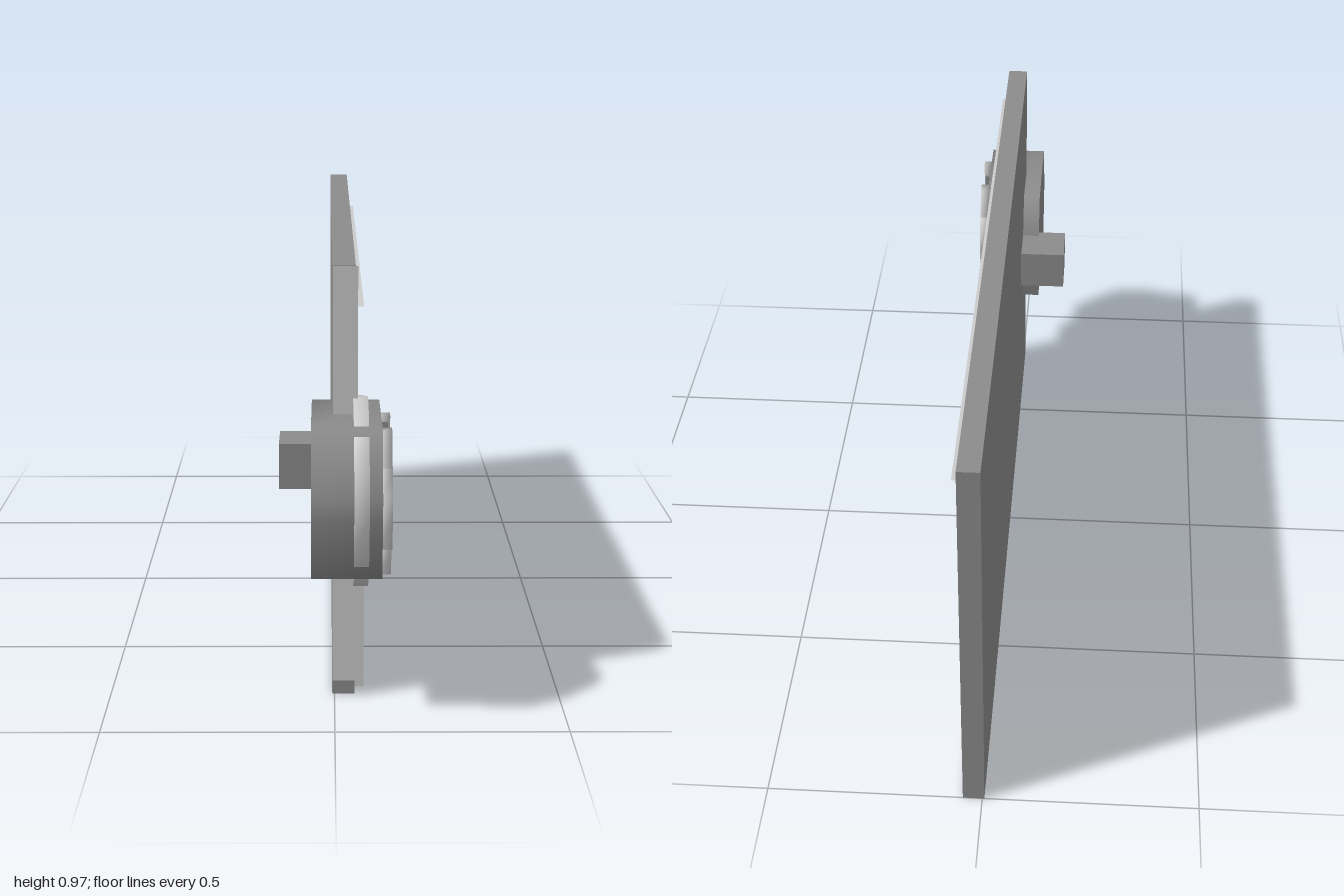
import * as THREE from 'three';
import { mergeVertices, toCreasedNormals } from 'three/addons/utils/BufferGeometryUtils.js';

const light = new THREE.MeshStandardMaterial({ color: 0xcccccc });
const thin = new THREE.MeshStandardMaterial({ color: 0xcccccc, side: THREE.DoubleSide });
const dark = new THREE.MeshStandardMaterial({ color: 0x8c8c8c });

export function createModel() {
  const model = new THREE.Group();

  const add = (name, geometry, material) => {
    const mesh = new THREE.Mesh(geometry, material);
    mesh.name = name;
    model.add(mesh);
    return mesh;
  };
  // Box given by its limits on each axis
  const box = (name, material, x0, x1, y0, y1, z0, z1) =>
    add(name, new THREE.BoxGeometry(x1 - x0, y1 - y0, z1 - z0), material)
      .position.set((x0 + x1) / 2, (y0 + y1) / 2, (z0 + z1) / 2);
  // Outline of [z, y] points extruded along x
  const slab = (points, x0, x1) => {
    const shape = new THREE.Shape(points.map(([z, y]) => new THREE.Vector2(-z, y)));
    const g = new THREE.ExtrudeGeometry(shape, { depth: x1 - x0, bevelEnabled: false });
    return g.rotateY(Math.PI / 2).translate(x0, 0, 0);
  };
  // Shares corner vertices so the shading runs softly over the edges
  const soften = (g) => {
    g.deleteAttribute('uv');
    g.deleteAttribute('normal');
    const merged = mergeVertices(g);
    merged.computeVertexNormals();
    return merged;
  };

  // Door panel with a facing sheet just ahead of its front edge
  box('panel', dark, -0.005, 0.045, 0, 0.968, -1, 0.79);
  add('edgeSheet', new THREE.PlaneGeometry(0.055, 0.933), light).position.set(0.0225, 0.5015, 0.799);

  // Raised trims on the +x face
  box('bottomRail', light, 0.045, 0.065, 0.018, 0.07, -0.305, 0.79);
  box('frontTrim', light, 0.045, 0.065, 0.018, 0.34, 0.775, 0.79);

  // Paper-thin horizontal fins
  for (const [y, zEnd] of [[0.88, -0.92], [0.45, -0.58]]) {
    const fin = new THREE.PlaneGeometry(0.018, 0.79 - zEnd).rotateX(-Math.PI / 2);
    add('fin', fin, thin).position.set(0.054, y, (0.79 + zEnd) / 2);
  }

  // Drum straddling the front edge, rounded shading with crisp end faces
  const drum = slab([
    [0.95, 0.325], [0.985, 0.46], [0.982, 0.51], [0.92, 0.645],
    [0.655, 0.645], [0.605, 0.51], [0.6, 0.46], [0.63, 0.325],
  ], -0.05, 0.1);
  add('drum', toCreasedNormals(drum, 1.35), dark);

  // Thin hoop around the drum
  const hoop = [[0.199, -0.016], [0.208, -0.016], [0.208, 0.016], [0.199, 0.016], [0.199, -0.016]]
    .map(([r, h]) => new THREE.Vector2(r, h));
  add('hoop', new THREE.LatheGeometry(hoop, 16).rotateZ(-Math.PI / 2), thin)
    .position.set(0.056, 0.474, 0.792);

  // Raised bezel pieces on the dial, mirrored about the dial centre
  const c = 0.793;
  for (const s of [1, -1]) {
    const mirror = (pts) => pts.map(([d, y]) => [c + s * d, y]);
    add('bezelSide', soften(slab(mirror([
      [0.122, 0.555], [0.15, 0.5], [0.15, 0.462], [0.127, 0.38],
      [0.102, 0.38], [0.128, 0.462], [0.128, 0.5], [0.1, 0.555],
    ]), 0.1, 0.122)), light);
    add('bezelTop', soften(slab(mirror([
      [0.115, 0.548], [0.085, 0.628], [0.052, 0.628], [0.08, 0.548],
    ]), 0.1, 0.122)), light);
  }
  add('bezelBottom', soften(slab([
    [c + 0.092, 0.378], [c + 0.045, 0.297], [c - 0.045, 0.297], [c - 0.092, 0.378],
  ], 0.1, 0.122)), light);
  box('dialMark', dark, 0.1, 0.115, 0.545, 0.628, c - 0.004, c + 0.004);

  // Latch block through the panel, with two prongs on top
  box('latchBlock', dark, -0.125, 0.1, 0.432, 0.537, 0.515, 0.635);
  for (const z of [0.59, 0.548]) box('prong', dark, 0.05, 0.068, 0.53, 0.628, z - 0.005, z + 0.005);

  return model;
}
